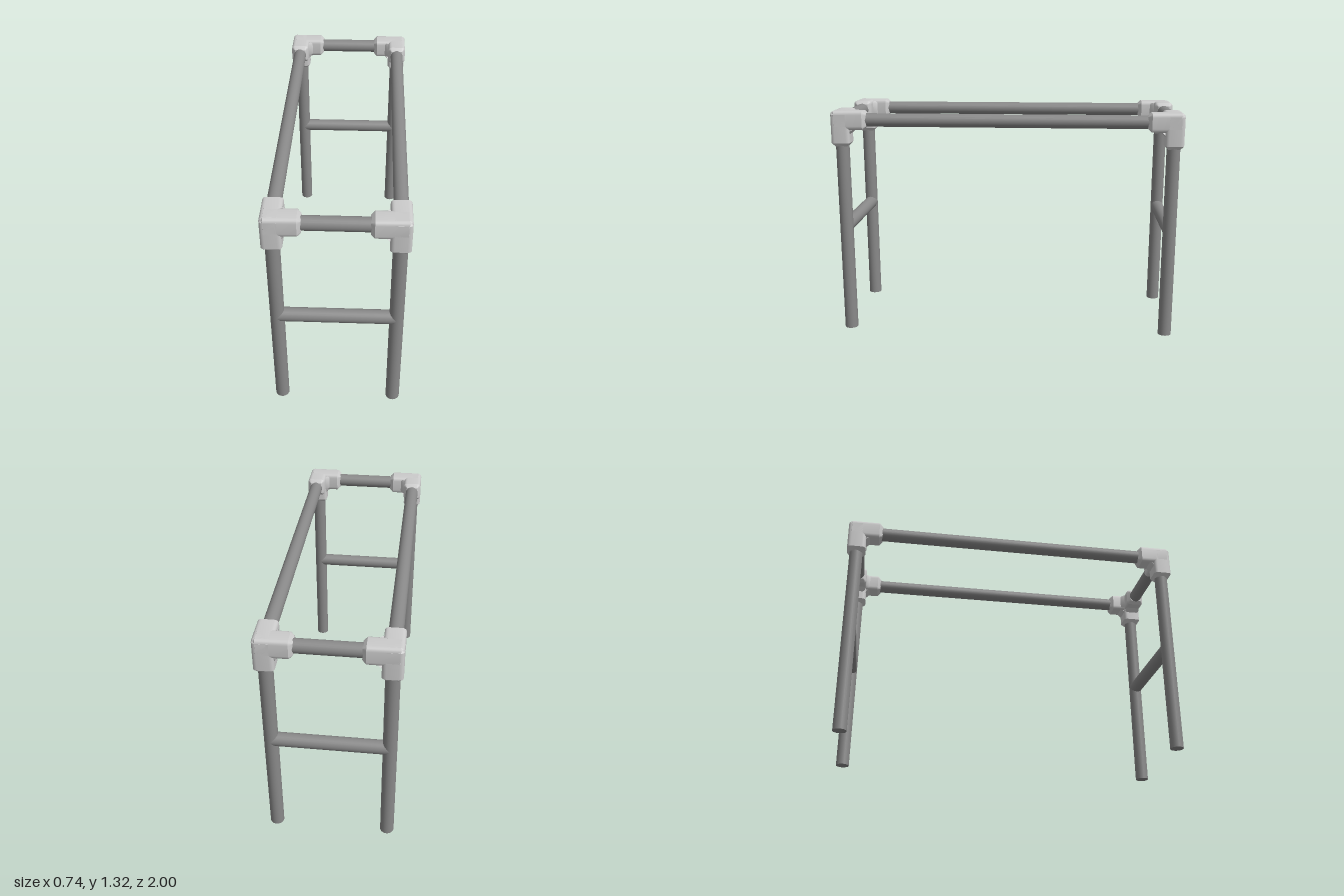
import * as THREE from 'three';
import { toCreasedNormals } from 'three/addons/utils/BufferGeometryUtils.js';

const X = 0.317, Y = 1.263, Z = 0.946; // pipe centre lines
const PIPE_R = 0.0385, HALF = 0.054, BEVEL = 0.02, REACH = 0.149;

const pipeMat = new THREE.MeshStandardMaterial({ color: 0x898989 });
const fittingMat = new THREE.MeshStandardMaterial({ color: 0xcccccc });

// Round pipe between two points
function pipe(name, a, b) {
  const from = new THREE.Vector3(...a), to = new THREE.Vector3(...b);
  const dir = to.clone().sub(from);
  const mesh = new THREE.Mesh(new THREE.CylinderGeometry(PIPE_R, PIPE_R, dir.length(), 24), pipeMat);
  mesh.name = name;
  mesh.position.copy(from).add(to).multiplyScalar(0.5);
  mesh.quaternion.setFromUnitVectors(new THREE.Vector3(0, 1, 0), dir.normalize());
  return mesh;
}

// Rounded-square socket along +z, tapered at both ends
function socketGeometry() {
  const h = HALF, c = HALF - 0.023;
  const s = new THREE.Shape();
  s.moveTo(h, -c);
  s.lineTo(h, c); s.quadraticCurveTo(h, h, c, h);
  s.lineTo(-c, h); s.quadraticCurveTo(-h, h, -h, c);
  s.lineTo(-h, -c); s.quadraticCurveTo(-h, -h, -c, -h);
  s.lineTo(c, -h); s.quadraticCurveTo(h, -h, h, -c);
  const geo = new THREE.ExtrudeGeometry(s, {
    depth: REACH + HALF - 2 * BEVEL, curveSegments: 4,
    bevelEnabled: true, bevelSegments: 1, bevelSize: BEVEL, bevelThickness: BEVEL, bevelOffset: -BEVEL,
  });
  geo.translate(0, 0, BEVEL - HALF);
  return toCreasedNormals(geo, 0.6);
}

// Sloped web filling the inside angle between two sockets
function webGeometry() {
  const s = new THREE.Shape();
  const h = HALF - 0.005, e = HALF + 0.028;
  s.moveTo(h, h); s.lineTo(e, h); s.lineTo(h, e); s.closePath();
  const w = HALF - 0.022;
  const geo = new THREE.ExtrudeGeometry(s, {
    depth: 2 * w, bevelEnabled: true, bevelSegments: 1, bevelSize: 0.012, bevelThickness: 0.014, bevelOffset: -0.012,
  });
  geo.translate(0, 0, -w);
  return toCreasedNormals(geo, 0.6);
}

export function createModel() {
  const model = new THREE.Group();
  model.name = 'pipeFrame';
  const socket = socketGeometry(), web = webGeometry();

  for (const sx of [1, -1]) {
    const side = sx > 0 ? 'left' : 'right';
    model.add(pipe(side + 'TopRail', [sx * X, Y, -Z], [sx * X, Y, Z]));

    for (const sz of [1, -1]) {
      const end = (sz > 0 ? 'Front' : 'Back');
      model.add(pipe(side + end + 'Leg', [sx * X, 0, sz * Z], [sx * X, Y, sz * Z]));

      // Three-way corner fitting: sockets point inward and down
      const fitting = new THREE.Group();
      fitting.name = side + end + 'CornerFitting';
      fitting.position.set(sx * X, Y, sz * Z);
      const dirs = [
        new THREE.Vector3(-sx, 0, 0), new THREE.Vector3(0, -1, 0), new THREE.Vector3(0, 0, -sz),
      ];
      dirs.forEach((d, i) => {
        const arm = new THREE.Mesh(socket, fittingMat);
        arm.name = 'socket';
        arm.quaternion.setFromUnitVectors(new THREE.Vector3(0, 0, 1), d);
        fitting.add(arm);

        const u = d, v = dirs[(i + 1) % 3];
        const fillet = new THREE.Mesh(web, fittingMat);
        fillet.name = 'web';
        fillet.quaternion.setFromRotationMatrix(
          new THREE.Matrix4().makeBasis(u, v, u.clone().cross(v)));
        fitting.add(fillet);
      });
      model.add(fitting);
    }
  }

  // Cross rails at each end
  for (const sz of [1, -1]) {
    const end = sz > 0 ? 'front' : 'back';
    model.add(pipe(end + 'TopRail', [-X, Y, sz * Z], [X, Y, sz * Z]));
    model.add(pipe(end + 'CrossRail', [-X, 0.634, sz * Z], [X, 0.634, sz * Z]));
  }
  return model;
}
